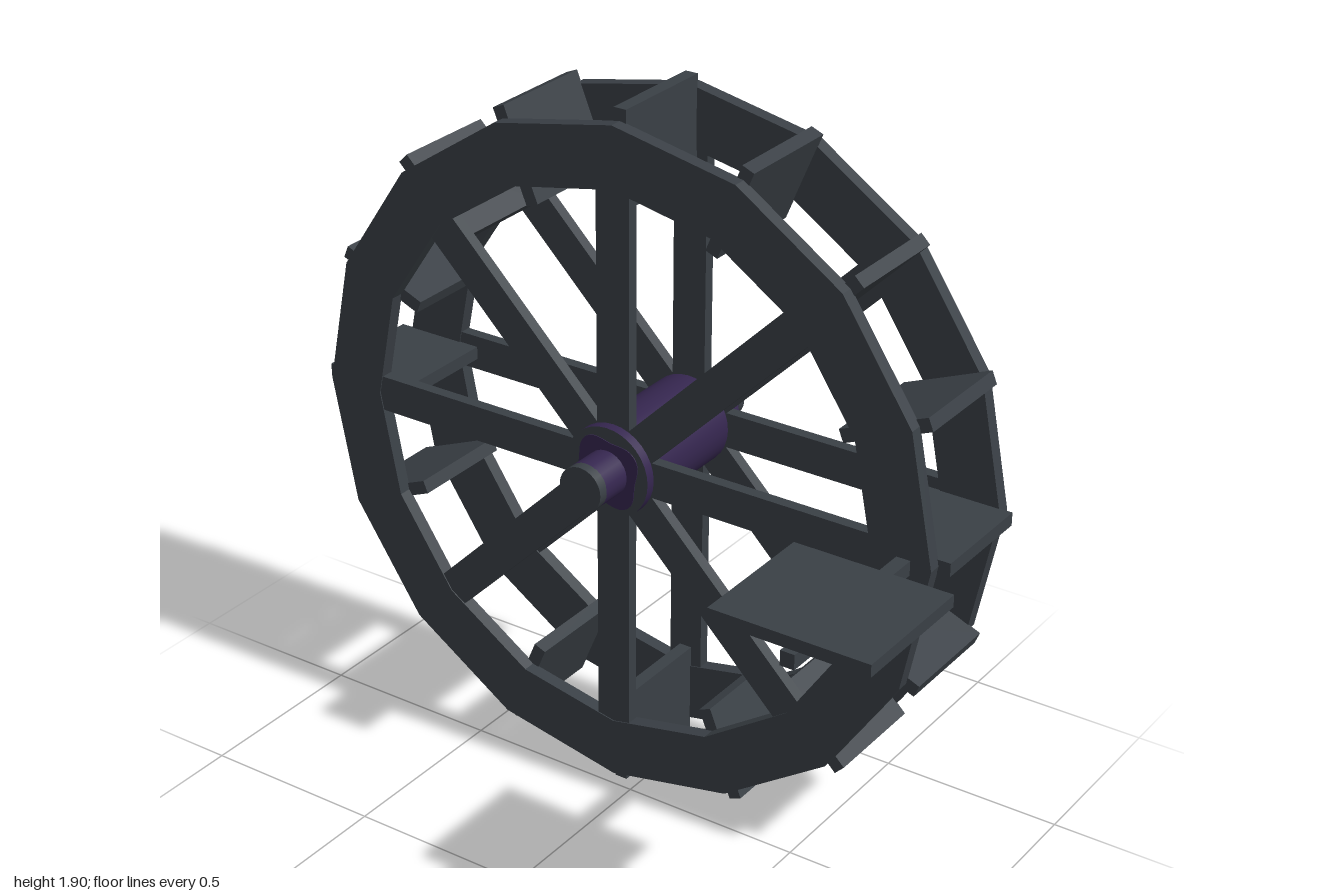
import * as THREE from 'three';

const CX = -0.055, CY = 0.952;      // wheel axis
const FRONT_Z = -0.019, BACK_Z = -0.357; // ring centre planes
const MID_Z = (FRONT_Z + BACK_Z) / 2;

export function createModel() {
  const wood = new THREE.MeshStandardMaterial({ color: 0x3a4046 });
  wood.name = 'dark slate wood';
  const purple = new THREE.MeshStandardMaterial({ color: 0x35264f });
  purple.name = 'deep purple';

  const model = new THREE.Group();
  model.name = 'waterWheel';
  const wheel = new THREE.Group();
  wheel.name = 'wheel';
  wheel.position.set(CX, CY, 0);
  model.add(wheel);

  const add = (parent, name, geometry, material, x = 0, y = 0, z = 0) => {
    const mesh = new THREE.Mesh(geometry, material);
    mesh.name = name;
    mesh.position.set(x, y, z);
    parent.add(mesh);
    return mesh;
  };
  const polygon = (radius, sides) => Array.from({ length: sides }, (_, i) => {
    const a = (i / sides) * Math.PI * 2;
    return new THREE.Vector2(Math.cos(a) * radius, Math.sin(a) * radius);
  });

  // Sixteen-sided rims with their spokes
  const rimShape = new THREE.Shape(polygon(0.916, 16));
  rimShape.holes.push(new THREE.Path(polygon(0.752, 16)));
  const rimGeo = new THREE.ExtrudeGeometry(rimShape, { depth: 0.038, bevelEnabled: false });
  rimGeo.translate(0, 0, -0.019);
  const spokeGeo = new THREE.BoxGeometry(0.76, 0.098, 0.032);
  spokeGeo.translate(0.38, 0, 0);
  for (const [side, z] of [['front', FRONT_Z], ['back', BACK_Z]]) {
    add(wheel, side + 'Rim', rimGeo, wood, 0, 0, z);
    for (let i = 0; i < 8; i++) {
      add(wheel, side + 'Spoke', spokeGeo, wood, 0, 0, z).rotation.z = (i * Math.PI) / 4;
    }
  }

  // Paddles between the rims
  const paddleGeo = new THREE.BoxGeometry(0.258, 0.036, 0.306);
  paddleGeo.translate(0.819, 0, 0);
  for (let i = 0; i < 16; i++) {
    add(wheel, 'paddle', paddleGeo, wood, 0, 0, MID_Z).rotation.z = (i * Math.PI) / 8;
  }

  // Hub drum: purple side, dark ends
  const hubGeo = new THREE.CylinderGeometry(0.124, 0.124, 0.424, 32);
  hubGeo.rotateX(Math.PI / 2);
  add(wheel, 'hub', hubGeo, [purple, wood, wood], 0, 0, MID_Z);

  // Wavy purple inlay on each hub end
  const inlayShape = new THREE.Shape(Array.from({ length: 48 }, (_, i) => {
    const a = (i / 48) * Math.PI * 2;
    const r = 0.096 + 0.01 * Math.cos(4 * (a - 2.2));
    return new THREE.Vector2(Math.cos(a) * r, Math.sin(a) * r);
  }));
  const inlayGeo = new THREE.ExtrudeGeometry(inlayShape, { depth: 0.004, bevelEnabled: false });
  inlayGeo.translate(0, 0, -0.002);
  for (const s of [-1, 1]) add(wheel, 'hubInlay', inlayGeo, purple, 0, 0, MID_Z + s * 0.212);

  // Axle with dark end caps
  const axleGeo = new THREE.CylinderGeometry(0.062, 0.062, 0.6, 24);
  axleGeo.rotateX(Math.PI / 2);
  add(wheel, 'axle', axleGeo, purple, 0, 0, MID_Z);
  const capGeo = new THREE.CylinderGeometry(0.062, 0.062, 0.028, 24);
  capGeo.rotateX(Math.PI / 2);
  for (const s of [-1, 1]) add(wheel, 'axleCap', capGeo, wood, 0, 0, MID_Z + s * 0.313);

  // Side platform on its support bar
  add(model, 'platform', new THREE.BoxGeometry(0.43, 0.033, 0.37), wood, 0.785, 0.992, 0.33);
  add(model, 'platformBar', new THREE.BoxGeometry(0.038, 0.04, 0.535), wood, 0.785, 0.945, 0.2475);

  return model;
}
